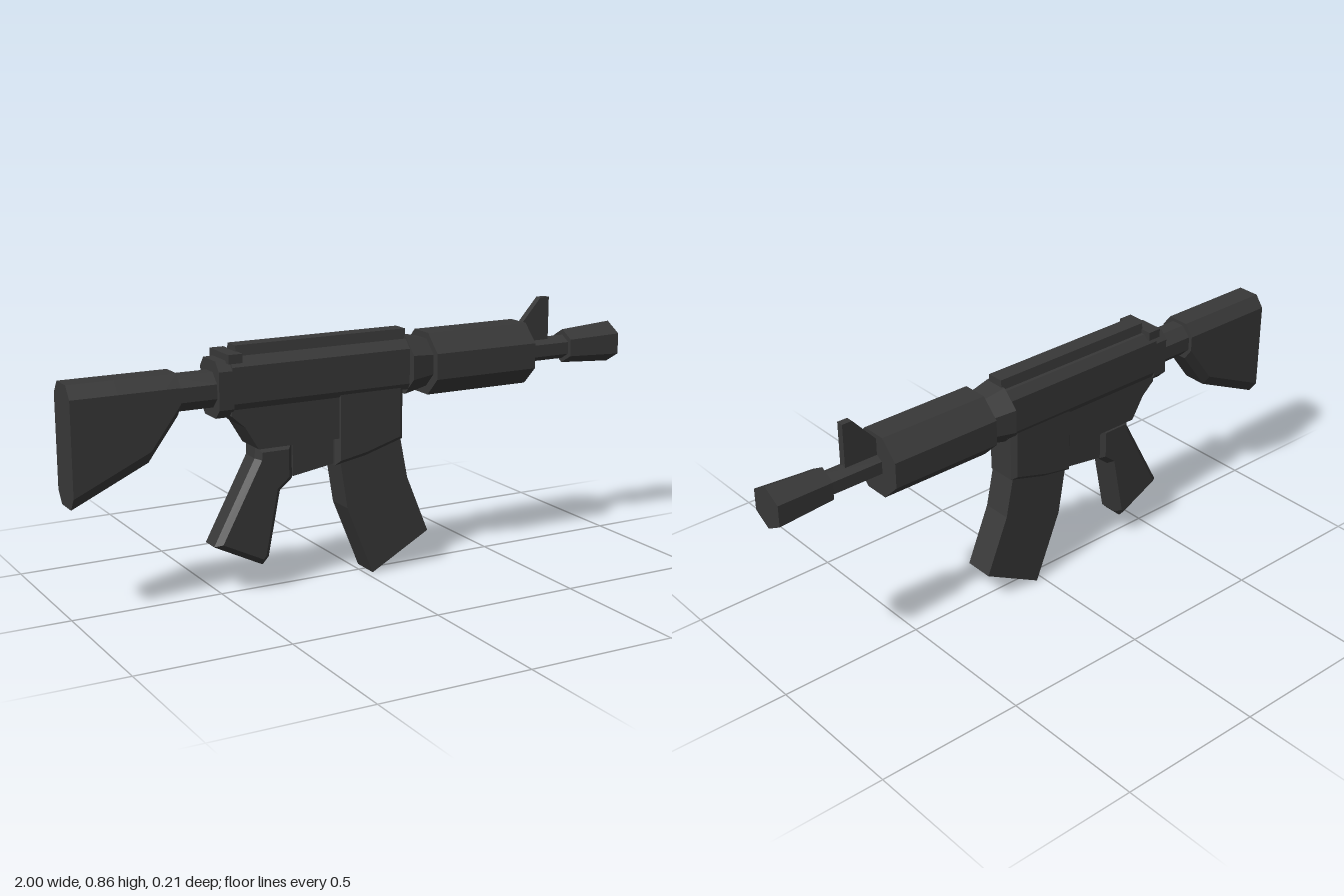
import * as THREE from 'three';

const AXIS_Y = 0.682;

export function createModel() {
  const model = new THREE.Group();
  const metal = new THREE.MeshStandardMaterial({ color: 0x383838, flatShading: true });
  metal.name = 'dark metal';

  function add(name, geometry) {
    const mesh = new THREE.Mesh(geometry, metal);
    mesh.name = name;
    model.add(mesh);
    return mesh;
  }

  // Faceted tube along x, from x0 (radius r0) to x1 (radius r1)
  function tube(name, x0, x1, r0, r1, sides, y = AXIS_Y) {
    const g = new THREE.CylinderGeometry(r1, r0, x1 - x0, sides, 1, false, Math.PI / sides);
    g.rotateZ(-Math.PI / 2).translate((x0 + x1) / 2, y, 0);
    add(name, g);
  }

  // Side outline extruded across z with chamfered edges
  function slab(name, outline, half, bevel = 0) {
    const shape = new THREE.Shape(outline.map(([x, y]) => new THREE.Vector2(x, y)));
    const g = new THREE.ExtrudeGeometry(shape, {
      depth: 2 * (half - bevel), bevelEnabled: bevel > 0, bevelThickness: bevel,
      bevelSize: bevel, bevelOffset: -bevel, bevelSegments: 1,
    });
    g.translate(0, 0, -(half - bevel));
    add(name, g);
  }

  // Symmetric end outline, given as [z, y] from bottom to top, extruded along x
  function bar(name, half, x0, x1, steps = 1) {
    const outline = [...half, ...half.slice().reverse().map(([z, y]) => [-z, y])];
    const shape = new THREE.Shape(outline.map(([z, y]) => new THREE.Vector2(z, y)));
    const g = new THREE.ExtrudeGeometry(shape, { depth: x1 - x0, steps, bevelEnabled: false });
    g.rotateY(Math.PI / 2).translate(x0, 0, 0);
    return add(name, g);
  }

  // Barrel, handguard and front sight
  tube('muzzle', 0.805, 1, 0.058, 0.071, 6);
  tube('barrel', 0.6, 0.82, 0.041, 0.041, 6, 0.68);
  tube('handguard', 0.235, 0.62, 0.1115, 0.1115, 8);
  tube('handguardRing', 0.15, 0.24, 0.104, 0.084, 8, 0.686);
  slab('frontSight', [[0.61, 0.7], [0.735, 0.7], [0.735, 0.86], [0.7, 0.86], [0.62, 0.77]], 0.012);

  // Upper receiver
  bar('upperReceiver', [[0.06, 0.61], [0.07, 0.63], [0.07, 0.745], [0.045, 0.772]], -0.48, 0.155);
  bar('topRail', [[0.036, 0.75], [0.028, 0.805]], -0.45, 0.155);
  bar('receiverEnd', [[0.04, 0.585], [0.07, 0.615], [0.07, 0.735], [0.045, 0.765]], -0.525, -0.475);
  bar('chargingHandle', [[0.07, 0.757], [0.07, 0.786]], -0.492, -0.445);

  // Lower receiver, trigger guard and magazine well
  slab('lowerReceiver', [[-0.48, 0.63], [-0.48, 0.59], [-0.435, 0.55], [-0.39, 0.475],
    [-0.1, 0.475], [-0.1, 0.63]], 0.06);
  slab('triggerGuard', [[-0.262, 0.48], [-0.262, 0.367], [-0.1, 0.392], [-0.1, 0.48]], 0.04);
  slab('magazineWell', [[-0.115, 0.635], [-0.115, 0.385], [0, 0.405], [0.135, 0.445], [0.135, 0.635]], 0.064, 0.015);

  // Curved magazine
  slab('magazine', [[-0.1, 0.42], [-0.07, 0.235], [0.025, 0], [0.235, 0.115], [0.155, 0.31], [0.125, 0.46]], 0.05);

  // Pistol grip
  slab('grip', [[-0.39, 0.478], [-0.392, 0.44], [-0.537, 0.17], [-0.37, 0.087], [-0.348, 0.11],
    [-0.305, 0.325], [-0.262, 0.36], [-0.262, 0.478]], 0.05, 0.018);

  // Stock tube
  tube('stockTube', -0.67, -0.515, 0.06, 0.06, 8, 0.673);

  // Stock: a chamfered bar whose underside drops towards the rear
  const stock = bar('stock', [[0.04, 0], [0.068, 0.04], [0.068, 0.7], [0.038, 0.74]], -1, -0.65, 7);
  const points = stock.geometry.attributes.position;
  for (let i = 0; i < points.count; i++) {
    const x = points.getX(i);
    const y = points.getY(i);
    const underside = x < -0.75 ? 0.475 + (x + 0.75) * 0.46 : 0.475 + (x + 0.75) * 1.35;
    if (y < 0.3) points.setY(i, y + underside);
  }
  stock.geometry.computeVertexNormals();

  return model;
}
